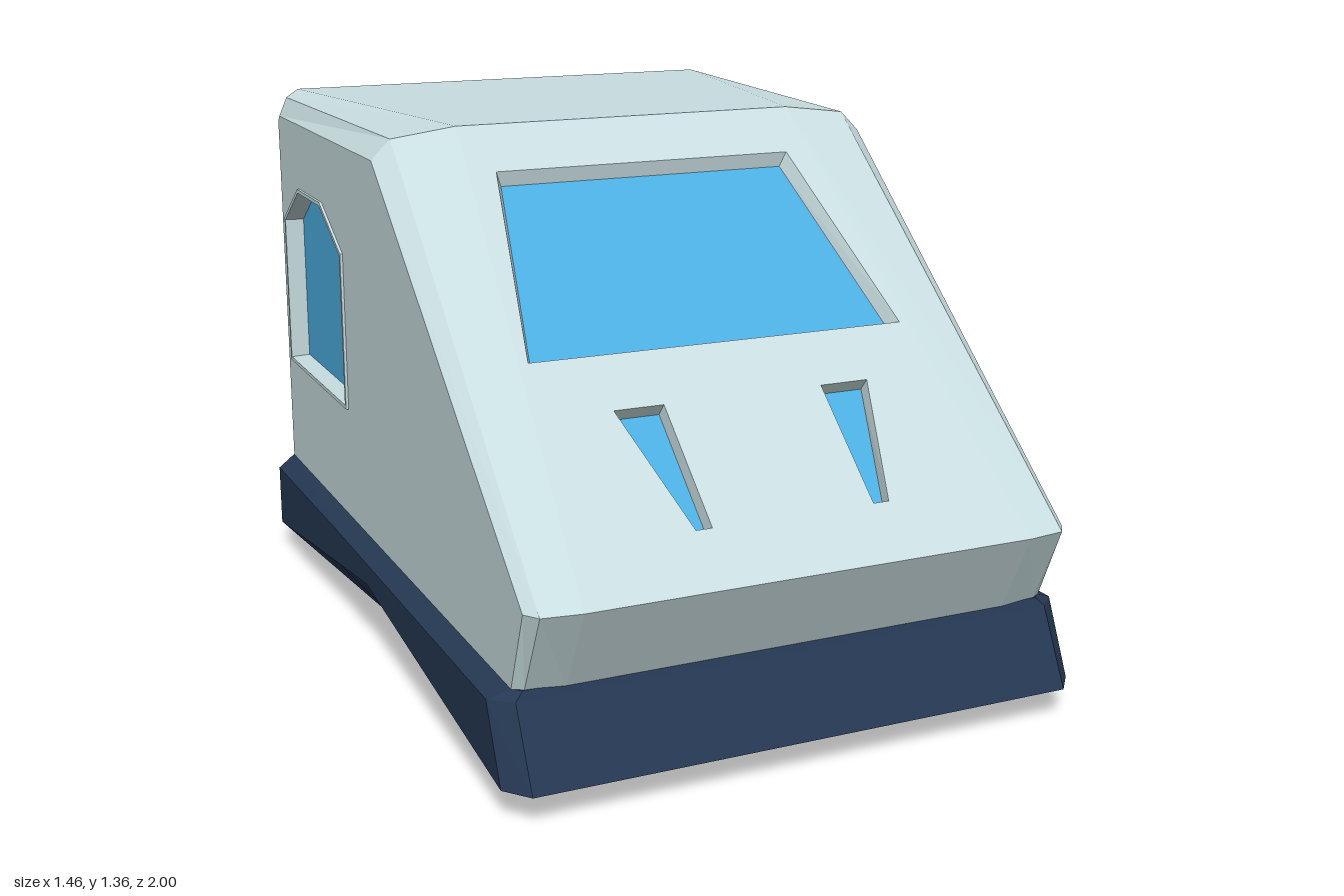
import * as THREE from 'three';

const paint = (name, color) => {
  const m = new THREE.MeshStandardMaterial({ color });
  m.name = name;
  return m;
};

// Faceted geometry from a list of quads
function quadGeometry(quads) {
  const pos = [];
  for (const [a, b, c, d] of quads) for (const p of [a, b, c, a, c, d]) pos.push(...p);
  const g = new THREE.BufferGeometry();
  g.setAttribute('position', new THREE.Float32BufferAttribute(pos, 3));
  g.computeVertexNormals();
  return g;
}

// Join closed loops of equal length; skip(row, k) leaves a face open
function loft(rows, skip = () => false) {
  const quads = [];
  for (let r = 0; r < rows.length - 1; r++) {
    const A = rows[r], B = rows[r + 1], n = A.length;
    for (let k = 0; k < n; k++) {
      if (!skip(r, k)) quads.push([A[k], A[(k + 1) % n], B[(k + 1) % n], B[k]]);
    }
  }
  return quads;
}

const mirror = ([x, y, z]) => [-x, y, z];
const toVec = (pts) => pts.map(([x, y]) => new THREE.Vector2(x, y));
const ccw = (pts) => (THREE.ShapeUtils.isClockWise(toVec(pts)) ? pts.slice().reverse() : pts);

function flatPanel(outline, holes = []) {
  const s = new THREE.Shape(toVec(outline));
  for (const h of holes) s.holes.push(new THREE.Path(toVec(h)));
  return new THREE.ShapeGeometry(s);
}

// Shrink an outline about the middle of its bounds
function inset(pts, d) {
  const box = new THREE.Box2().setFromPoints(toVec(pts));
  const c = box.getCenter(new THREE.Vector2()), s = box.getSize(new THREE.Vector2());
  return pts.map(([x, y]) => [c.x + (x - c.x) * (1 - 2 * d / s.x), c.y + (y - c.y) * (1 - 2 * d / s.y)]);
}

export function createModel() {
  const model = new THREE.Group();
  model.name = 'cabin';
  const shell = paint('pale shell', 0xc8dde0);
  const glass = paint('blue glass', 0x4daee1);
  const navy = paint('navy base', 0x253853);

  const add = (parent, name, geometry, material) => {
    const m = new THREE.Mesh(geometry, material);
    m.name = name;
    parent.add(m);
    return m;
  };

  // Window sunk into a panel: reveal walls plus a pane
  function sunkWindow(parent, name, outline, { lip, rim, depth, taper }) {
    const g = new THREE.Group();
    g.name = name;
    parent.add(g);
    const o = ccw(outline), at = (pts, z) => pts.map(([x, y]) => [x, y, z]);
    const inner = inset(o, rim), pane = inset(o, rim + taper);
    const rows = [at(inner, lip), at(pane, -depth)];
    if (lip > 0) rows.unshift(at(o, 0), at(o, lip));
    add(g, 'windowReveal', quadGeometry(loft(rows)), shell);
    add(g, 'windowPane', flatPanel(pane).translate(0, 0, -depth), glass);
  }

  // Hull outlines: side, bevel, full. Order: sill front, nose, knee, roof back, back top, sill back
  const side = [[0.68, 0.27, 0.87], [0.68, 0.475, 0.95], [0.68, 1.285, -0.05],
    [0.68, 1.285, -0.95], [0.68, 1.27, -0.965], [0.68, 0.27, -0.965]];
  const bevel = [[0.655, 0.27, 0.885], [0.655, 0.475, 0.985], [0.63, 1.335, -0.05],
    [0.655, 1.335, -0.96], [0.655, 1.315, -0.988], [0.655, 0.27, -0.988]];
  const full = [[0.56, 0.27, 0.893], [0.56, 0.475, 0.998], [0.46, 1.357, -0.05],
    [0.62, 1.357, -0.965], [0.62, 1.335, -0.997], [0.62, 0.27, -0.997]];
  const rows = [side, bevel, full, ...[full, bevel, side].map((r) => r.map(mirror))];
  add(model, 'hullShell', quadGeometry(loft(rows, (r, k) => r === 2 && k === 1)), shell);

  // Side walls with a clipped-top window each
  const sideWindow = [[-0.34, 0.58], [-0.34, 1.0], [-0.53, 1.105], [-0.76, 1.105], [-0.918, 1.0], [-0.918, 0.58]];
  for (const s of [1, -1]) {
    const wall = new THREE.Group();
    wall.name = s > 0 ? 'leftWall' : 'rightWall';
    wall.rotation.y = s * Math.PI / 2;
    wall.position.x = s * 0.68;
    const hole = sideWindow.map(([z, y]) => [-s * z, y]);
    add(wall, 'wallPanel', flatPanel(side.map(([, y, z]) => [-s * z, y]), [hole]), shell);
    sunkWindow(wall, 'sideWindow', hole, { lip: 0.007, rim: 0.01, depth: 0.045, taper: 0.002 });
    model.add(wall);
  }

  // Sloping front with windscreen and two lower slots
  const [, nose, knee] = full;
  const rise = knee[1] - nose[1], run = nose[2] - knee[2], len = Math.hypot(rise, run);
  const up = (y) => (y - nose[1]) * len / rise;
  const slope = new THREE.Group();
  slope.name = 'slopingFront';
  slope.position.set(0, nose[1], nose[2]);
  slope.rotation.x = -Math.atan2(run, rise);
  const screen = [[-0.49, up(0.89)], [0.49, up(0.89)], [0.4, up(1.257)], [-0.4, up(1.257)]];
  const slot = (s) => [[s * 0.205, up(0.575)], [s * 0.245, up(0.575)], [s * 0.33, up(0.79)], [s * 0.205, up(0.79)]];
  const slots = [slot(1), slot(-1)];
  add(slope, 'slopePanel', flatPanel(
    [[-nose[0], 0], [nose[0], 0], [knee[0], len], [-knee[0], len]], [screen, ...slots]), shell);
  sunkWindow(slope, 'windscreen', screen, { lip: 0, rim: 0, depth: 0.035, taper: 0.018 });
  slots.forEach((o, i) => sunkWindow(slope, i ? 'rightSlot' : 'leftSlot', o,
    { lip: 0, rim: 0, depth: 0.035, taper: 0.003 }));
  model.add(slope);

  // Base skirt: half sections (top, shoulder, lower edge, underside) from front to back
  const halves = [
    [[0.66, 0.275, 0.89], [0.68, 0.255, 0.9], [0.68, 0.075, 0.995], [0.56, 0.003, 0.86]],
    [[0.68, 0.275, 0.87], [0.73, 0.252, 0.85], [0.73, 0.075, 0.935], [0.6, 0.003, 0.83]],
    [[0.68, 0.275, -0.05], [0.73, 0.252, -0.05], [0.73, 0.195, -0.05], [0.52, 0.003, -0.05]],
    [[0.68, 0.275, -0.3], [0.73, 0.252, -0.3], [0.73, 0.162, -0.3], [0.6, 0, -0.3]],
    [[0.68, 0.275, -0.95], [0.73, 0.245, -0.95], [0.73, 0.075, -0.95], [0.6, 0.003, -0.94]],
    [[0.66, 0.275, -0.998], [0.67, 0.245, -0.998], [0.67, 0.075, -0.998], [0.57, 0.01, -0.975]],
  ];
  const rings = halves.map((h) => [...h, ...h.map(mirror).reverse()]);
  const cap = (r) => [0, 1, 2].map((k) => [r[k], r[k + 1], r[6 - k], r[7 - k]]);
  add(model, 'baseSkirt', quadGeometry([
    ...loft(rings), ...cap(rings[0]).map((q) => q.reverse()), ...cap(rings[rings.length - 1])]), navy);

  return model;
}
